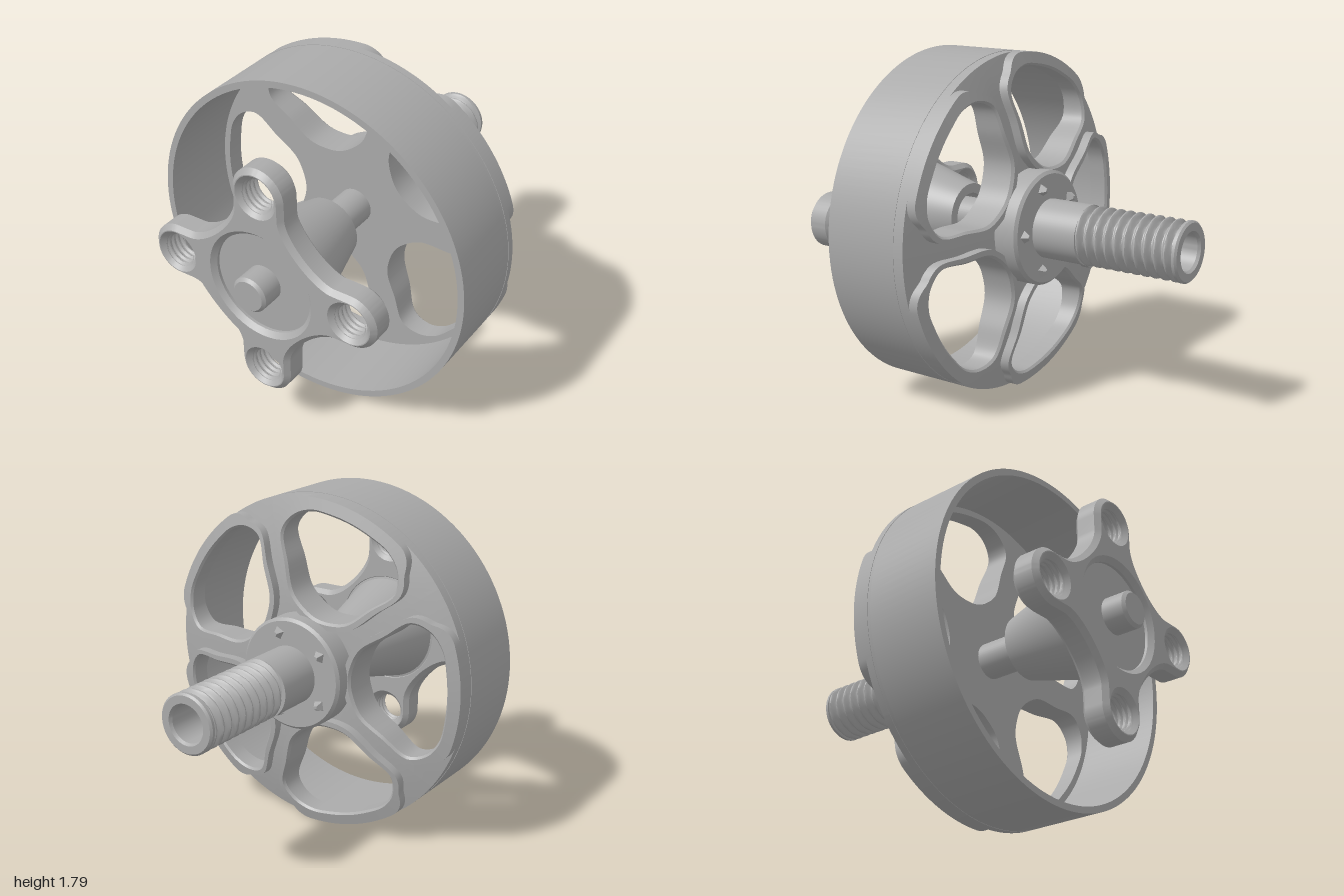
import * as THREE from 'three';
import { toCreasedNormals } from 'three/addons/utils/BufferGeometryUtils.js';

const R = 0.895;                       // outer radius, also height of the axis
const rad = THREE.MathUtils.degToRad;

const grey = new THREE.MeshStandardMaterial({ color: 0xaaaaaa });
grey.name = 'metal grey';

function part(name, geo, crease = 30) {
  const m = new THREE.Mesh(toCreasedNormals(geo, rad(crease)), grey);
  m.name = name;
  return m;
}

// Turned part along z; profile is [radius, z]
function turned(name, profile, sides = 96) {
  const geo = new THREE.LatheGeometry(profile.map(([r, z]) => new THREE.Vector2(r, z)), sides);
  return part(name, geo.rotateX(Math.PI / 2));
}

// Surface through a row of cross-sections with equal point counts
function skin(rings) {
  const n = rings[0].length, index = [];
  for (let i = 0; i < rings.length - 1; i++)
    for (let j = 0; j < n - 1; j++) {
      const a = i * n + j, b = a + 1, c = a + n, d = c + 1;
      index.push(a, c, b, b, c, d);
    }
  const geo = new THREE.BufferGeometry();
  geo.setAttribute('position', new THREE.Float32BufferAttribute(rings.flat(2), 3));
  geo.setIndex(index);
  return geo;
}

// Helical thread; faces outward when z falls, inward when z rises
function thread(name, z0, z1, rMin, rMax, pitch, sides = 48) {
  const rows = Math.ceil(Math.abs(z1 - z0) / pitch * 10), rings = [];
  for (let i = 0; i <= rows; i++) {
    const z = z0 + (z1 - z0) * i / rows, ring = [];
    for (let j = 0; j <= sides; j++) {
      const a = (j % sides) / sides * Math.PI * 2;
      const p = z / pitch - a / (Math.PI * 2);
      const wave = Math.abs(2 * (p - Math.floor(p)) - 1);
      const r = rMin + (rMax - rMin) * THREE.MathUtils.clamp(wave * 1.4 - 0.2, 0, 1);
      ring.push([r * Math.cos(a), r * Math.sin(a), z]);
    }
    rings.push(ring);
  }
  return part(name, skin(rings), 40);
}

// One fifth of the domed bell: a window with a raised lip and half a spoke on each side
function bellSector() {
  const c = 0.55, half = rad(36);
  const pts = [[0.825, 0], [0.816, 0.12], [0.79, 0.236], [0.726, 0.319], [0.627, 0.35],
    [0.499, 0.262], [0.373, 0.171], [0.325, 0.075], [0.312, 0]];
  const mirrored = pts.slice(1, -1).reverse().map(([u, v]) => [u, -v]);
  const curve = new THREE.CatmullRomCurve3(
    [...pts, ...mirrored].map(([u, v]) => new THREE.Vector3(u - c, v, 0)), true);
  const edge = curve.getPoints(480).slice(0, 241)
    .map(p => [Math.atan2(Math.abs(p.y), p.x), Math.hypot(p.x, p.y)]);
  const windowAt = t => {
    const k = Math.max(1, edge.findIndex(e => e[0] >= t - 1e-9));
    const [a0, r0] = edge[k - 1], [a1, r1] = edge[k];
    return r0 + (r1 - r0) * THREE.MathUtils.clamp((t - a0) / (a1 - a0 || 1), 0, 1);
  };
  const dirTo = a => Math.atan2(R * Math.sin(a), R * Math.cos(a) - c);
  const lipEnd = dirTo(half / 2), corner = dirTo(half);
  const boundary = t => t <= corner + 1e-9
    ? -c * Math.cos(t) + Math.sqrt(R * R - (c * Math.sin(t)) ** 2)
    : c * Math.sin(half) / Math.sin(t - half);
  const dome = r => -0.1 + 0.1 * (Math.max(0, r - 0.25) / 0.645) ** 2;

  // Ray directions, exact at the lip end and the sector corner
  const halfRays = [];
  [[0, lipEnd, 16], [lipEnd, corner, 14], [corner, Math.PI, 36]].forEach(([a, b, n]) => {
    for (let i = 0; i < n; i++) halfRays.push(a + (b - a) * i / n);
  });
  halfRays.push(Math.PI);
  const rays = [...halfRays.slice(1).reverse().map(t => -t), ...halfRays];

  const rings = rays.map(theta => {
    const t = Math.abs(theta), w = windowAt(t), b = boundary(t);
    const narrow = Math.min(0.04, (b - w) * 0.6);
    const blend = THREE.MathUtils.smoothstep(t, lipEnd, lipEnd + 0.4);
    const lip = w + (b - w) * (1 - blend) + narrow * blend;
    const at = (s, z) => {
      const x = c + s * Math.cos(theta), y = s * Math.sin(theta);
      return [x, y, typeof z === 'number' ? z : z(Math.hypot(x, y))];
    };
    const floor = r => dome(r) + 0.05;
    return [at(w, 0.09), at(w, r => dome(r) + 0.014), at(w + 0.012, dome), at(lip, dome),
      at(lip, floor), at((lip + b) / 2, floor), at(b, floor), at(b, 0.09), at(w, 0.09)];
  });
  return skin(rings);
}

// Four-armed mounting plate with bevelled edges
function mountPlate() {
  const shape = new THREE.Shape(), tip = 0.505, w = 0.145;
  for (let k = 0; k < 4; k++) {
    const a = k * Math.PI / 2;
    const p = (x, y) => [x * Math.cos(a) - y * Math.sin(a), x * Math.sin(a) + y * Math.cos(a)];
    if (k === 0) shape.moveTo(...p(tip, -w));
    else shape.lineTo(...p(tip, -w));
    shape.absarc(...p(tip, 0), w, a - Math.PI / 2, a + Math.PI / 2, false);
    shape.lineTo(...p(0.42, w));
    shape.bezierCurveTo(...p(0.32, w), ...p(w, 0.32), ...p(w, 0.42));
    shape.holes.push(new THREE.Path().absarc(...p(tip, 0), 0.09, 0, Math.PI * 2, true));
  }
  shape.closePath();
  shape.holes.push(new THREE.Path().absarc(0, 0, 0.275, 0, Math.PI * 2, true));
  const bevel = 0.025;
  const geo = new THREE.ExtrudeGeometry(shape, {
    depth: 0.15 - 2 * bevel, curveSegments: 24, bevelEnabled: true, bevelSegments: 1,
    bevelSize: bevel, bevelThickness: bevel, bevelOffset: -bevel,
  });
  return part('mountPlate', geo.translate(0, 0, 0.76 + bevel));
}

export function createModel() {
  const model = new THREE.Group();
  model.name = 'motor';
  const body = new THREE.Group();
  body.name = 'motorBody';
  body.position.y = R;
  model.add(body);

  // Rim in two rings that meet at a seam
  const ring = (z0, z1, r) => [[0.86, z1], [0.86, z0], [r, z0], [r, z1], [0.86, z1]];
  body.add(turned('magnetRing', ring(0.11, 0.525, R), 128));
  body.add(turned('bellRim', ring(0.05, 0.11, R - 0.002), 128));

  // Bell windows and studs, five of each
  const sector = bellSector();
  for (let k = 0; k < 5; k++) {
    const s = part('bellSector', sector, 28);
    s.rotation.z = rad(36 + 72 * k);
    body.add(s);

    const stud = part('hubStud', new THREE.CylinderGeometry(0.036, 0.012, 0.035, 4)
      .rotateX(Math.PI / 2));
    const a = rad(72 * k);
    stud.position.set(0.225 * Math.cos(a), 0.225 * Math.sin(a), -0.195);
    stud.rotation.z = a;
    body.add(stud);
  }

  // Hub and hollow rear shaft
  body.add(turned('hub', [[0, -0.18], [0.285, -0.18], [0.3, -0.165], [0.3, -0.02], [0, -0.02]]));
  body.add(turned('rearShaft', [[0, -0.45], [0.095, -0.45], [0.095, -0.985], [0.105, -1],
    [0.145, -1], [0.155, -0.99], [0.155, -0.975], [0.12, -0.965], [0.12, -0.43],
    [0.155, -0.43], [0.155, -0.15], [0, -0.15]], 64));
  body.add(thread('rearThread', -0.43, -0.975, 0.122, 0.155, 0.055));

  // Stator cone with the recessed floor of the mount, and the inner shaft
  body.add(turned('statorCone', [[0.095, 0.45], [0.118, 0.45], [0.118, 0.33], [0.17, 0.33],
    [0.285, 0.76], [0.305, 0.765], [0.305, 0.87], [0, 0.87]]));
  body.add(turned('innerShaft', [[0, 0], [0.095, 0], [0.095, 0.985], [0.08, 1], [0, 1]], 48));

  // Mounting plate with threaded holes
  body.add(mountPlate());
  for (let k = 0; k < 4; k++) {
    const t = thread('mountThread', 0.775, 0.895, 0.08, 0.092, 0.03, 32);
    const a = k * Math.PI / 2;
    t.position.set(0.505 * Math.cos(a), 0.505 * Math.sin(a), 0);
    body.add(t);
  }
  return model;
}
